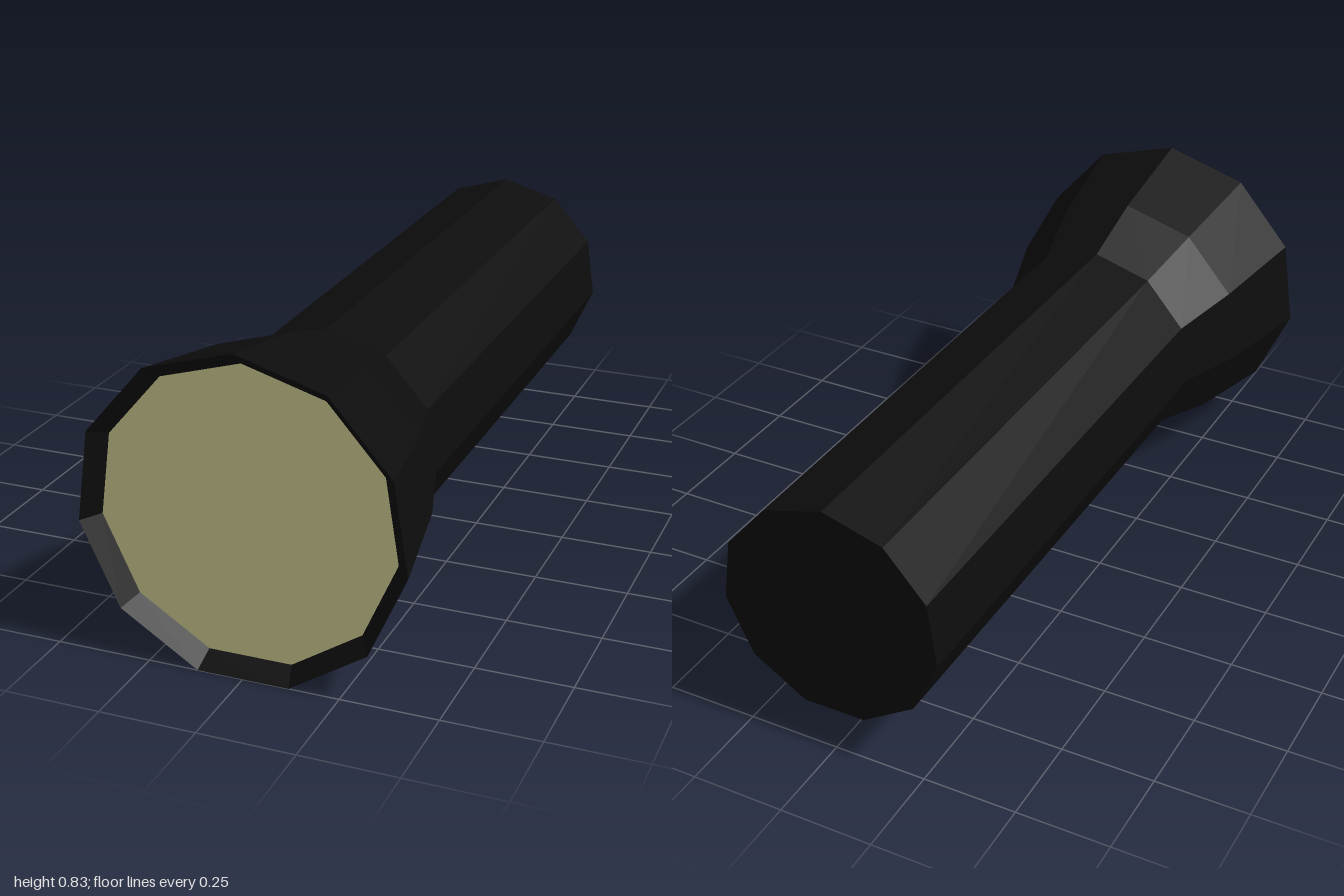
import * as THREE from 'three';

const SIDES = 11;
const AXIS_Y = 0.409; // height of the long axis above the ground

export function createModel() {
  const model = new THREE.Group();
  model.name = 'flashlight';

  const casingMaterial = new THREE.MeshStandardMaterial({ color: 0x0d0d0d, flatShading: true });
  const lensMaterial = new THREE.MeshStandardMaterial({ color: 0xd0cb93, flatShading: true });

  // Casing: closed tail, straight handle, flared head, rim sloping in to the lens
  const profile = [
    [0, -1],
    [0.3, -1],
    [0.3, 0.47],
    [0.366, 0.68],
    [0.426, 1],
    [0.386, 0.955],
  ].map(([r, z]) => new THREE.Vector2(r, z));
  const casingGeometry = new THREE.LatheGeometry(profile, SIDES, Math.PI);
  casingGeometry.rotateX(Math.PI / 2); // lay the axis along z, one corner on top
  const casing = new THREE.Mesh(casingGeometry, casingMaterial);
  casing.name = 'casing';
  casing.position.y = AXIS_Y;
  model.add(casing);

  // Lens: flat disc slightly recessed inside the rim
  const lens = new THREE.Mesh(new THREE.CircleGeometry(0.386, SIDES, Math.PI / 2), lensMaterial);
  lens.name = 'lens';
  lens.position.set(0, AXIS_Y, 0.955);
  model.add(lens);

  return model;
}
